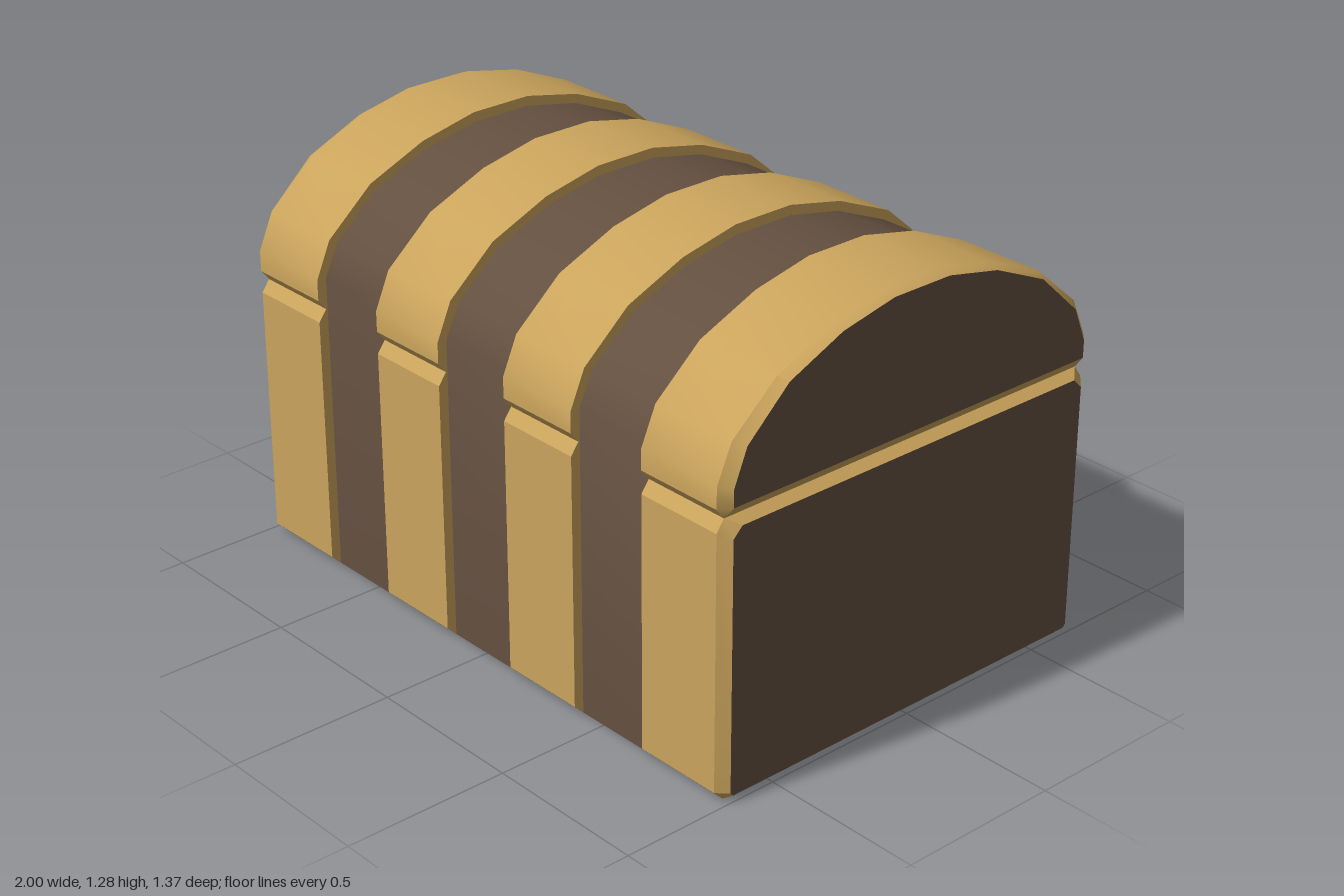
import * as THREE from 'three';
import { toCreasedNormals } from 'three/addons/utils/BufferGeometryUtils.js';

const mat = (name, color) => new THREE.MeshStandardMaterial({ name, color });

// Complete a right-hand half profile (bottom to top) into a closed counter-clockwise outline
const mirror = half => [...half, ...half.map(([u, y]) => [-u, y]).reverse()];

// Outlines across the chest: full size, and inset for the bevelled ends
const base = mirror([[0.645, 0], [0.675, 0.03], [0.675, 0.79], [0.65, 0.825]]);
const baseEnd = mirror([[0.635, 0.02], [0.645, 0.03], [0.645, 0.775], [0.615, 0.805]]);
const lid = mirror([[0.65, 0.825], [0.675, 0.857], [0.675, 0.92], [0.627, 1.03],
  [0.477, 1.16], [0.287, 1.24], [0.1, 1.28]]);
const lidEnd = mirror([[0.644, 0.863], [0.645, 0.866], [0.645, 0.915], [0.602, 1.02],
  [0.462, 1.15], [0.28, 1.23], [0.1, 1.268]]);
const core = mirror([[0.645, 0], [0.645, 0.92], [0.6, 1.017], [0.46, 1.137],
  [0.28, 1.213], [0.1, 1.25]]);

// Walls joining successive outlines; the part lying flat on the ground is left to the floor
function loft(sections) {
  const pos = [];
  for (let s = 0; s < sections.length - 1; s++) {
    const [p, z0] = sections[s], [q, z1] = sections[s + 1];
    for (let i = 0; i < p.length; i++) {
      const j = (i + 1) % p.length;
      if (p[i][1] + p[j][1] + q[i][1] + q[j][1] === 0) continue;
      const a = [...p[i], z0], b = [...p[j], z0], c = [...q[j], z1], d = [...q[i], z1];
      pos.push(...a, ...b, ...c, ...a, ...c, ...d);
    }
  }
  const g = new THREE.BufferGeometry();
  g.setAttribute('position', new THREE.Float32BufferAttribute(pos, 3));
  return toCreasedNormals(g, 0.5);
}

// Flat face closing an outline, looking along dir (+1 or -1)
function cap(outline, z, dir) {
  const pts = outline.map(([u, y]) => new THREE.Vector2(u, y));
  const g = new THREE.ShapeGeometry(new THREE.Shape(pts));
  if (dir < 0) g.rotateY(Math.PI);
  return g.translate(0, 0, z);
}

export function createModel() {
  const gold = mat('goldTrim', 0xcaa45c);
  const brown = mat('brownWood', 0x645040);
  const grey = mat('greyMetal', 0x7b7f83);
  const model = new THREE.Group();
  model.name = 'chest';

  // The chest is lofted along local z, then turned to lie along x
  const chest = new THREE.Group();
  chest.name = 'chestBody';
  chest.rotation.y = Math.PI / 2;
  chest.position.z = 0.005;
  model.add(chest);
  const add = (name, geometry, material, parent = chest) => {
    const m = new THREE.Mesh(geometry, material);
    m.name = name;
    parent.add(m);
    return m;
  };

  // Wooden core between the trim bands
  add('woodCore', loft([[core, -0.7], [core, 0.7]]), brown);

  // Two middle bands and two bevelled end bands, each for base and lid
  for (const [part, full, inset] of [['base', base, baseEnd], ['lid', lid, lidEnd]]) {
    for (const side of [-1, 1]) {
      const [m0, m1] = side > 0 ? [0.14, 0.415] : [-0.415, -0.14];
      add(part + 'MiddleBand', loft([[full, m0], [full, m1]]), gold);
      add(part + 'MiddleBandSide', cap(full, m0, -1), gold);
      add(part + 'MiddleBandSide', cap(full, m1, 1), gold);

      const rings = [[full, 0.69 * side], [full, 0.97 * side], [inset, side]];
      add(part + 'EndBand', loft(side > 0 ? rings : rings.reverse()), gold);
      add(part + 'EndBandSide', cap(full, 0.69 * side, -side), gold);
      add(part + 'EndPanel', cap(inset, side, side), brown);
    }
  }

  // Underside
  const floor = add('floor', new THREE.PlaneGeometry(1.94, 1.29), brown, model);
  floor.rotation.x = Math.PI / 2;
  floor.position.z = 0.005;

  // Lock plate on the back, with a keyhole cut through it
  const plate = new THREE.Shape();
  plate.moveTo(-0.105, -0.105).lineTo(0.105, -0.105).lineTo(0.105, 0.105).lineTo(-0.105, 0.105).closePath();
  const hole = new THREE.Path();
  hole.moveTo(-0.035, -0.07).lineTo(0.035, -0.07).lineTo(0.02, 0.0);
  hole.absarc(0, 0.03, 0.042, -1.05, Math.PI + 1.05, false);
  hole.closePath();
  plate.holes.push(hole);
  const lock = add('lockPlate',
    new THREE.ExtrudeGeometry(plate, { depth: 0.045, bevelEnabled: false, curveSegments: 6 }), grey, model);
  lock.rotation.y = Math.PI;
  lock.position.set(-0.003, 0.695, -0.64);

  return model;
}
